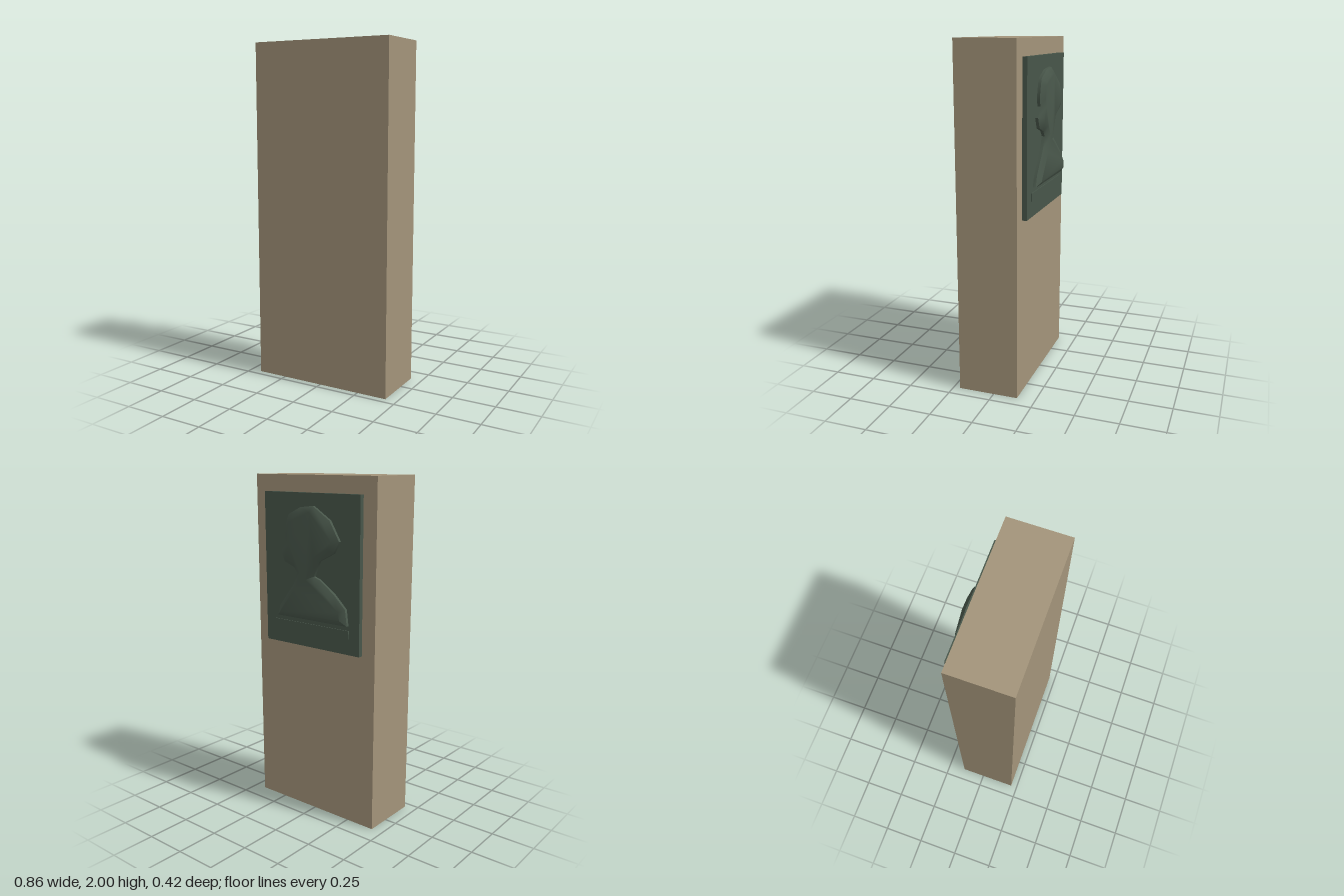
import * as THREE from 'three';
import { toCreasedNormals } from 'three/addons/utils/BufferGeometryUtils.js';

export function createModel() {
  const stone = new THREE.MeshStandardMaterial({ color: 0xa3947a });
  stone.name = 'sandstone';
  const bronze = new THREE.MeshStandardMaterial({ color: 0x48564a });
  bronze.name = 'dark green bronze';

  const model = new THREE.Group();
  model.name = 'memorialStone';

  const add = (name, geometry, material) => {
    const mesh = new THREE.Mesh(geometry, material);
    mesh.name = name;
    model.add(mesh);
    return mesh;
  };
  // Box given by its limits along each axis
  const slab = (name, material, x, y0, y1, z0, z1) =>
    add(name, new THREE.BoxGeometry(2 * x, y1 - y0, z1 - z0), material)
      .position.set(0, (y0 + y1) / 2, (z0 + z1) / 2);

  slab('stoneBlock', stone, 0.43, 0, 2, -0.143, 0.21);
  slab('plaque', bronze, 0.343, 1.03, 1.905, -0.17, -0.143);
  slab('namePlate', bronze, 0.272, 1.122, 1.168, -0.175, -0.17);

  // Profile bust, facing +x: crown, back of head, neck, shoulders, chest, face
  const outline = [
    [0.145, 1.785], [0.06, 1.826], [-0.03, 1.836], [-0.148, 1.763], [-0.215, 1.653],
    [-0.176, 1.587], [-0.078, 1.537], [-0.036, 1.447], [-0.078, 1.432], [-0.176, 1.365],
    [-0.258, 1.287], [-0.27, 1.195], [0.24, 1.195], [0.222, 1.256], [0.117, 1.387],
    [0.085, 1.458], [0.11, 1.49], [0.18, 1.515], [0.207, 1.575], [0.166, 1.633],
    [0.18, 1.673], [0.16, 1.755],
  ];
  // Drawn mirrored, then turned to stand out from the back of the stone
  const shape = new THREE.Shape(outline.map(([x, y]) => new THREE.Vector2(-x, y)));
  const relief = new THREE.ExtrudeGeometry(shape, {
    depth: 0.03, bevelEnabled: true, bevelSegments: 1,
    bevelThickness: 0.023, bevelSize: 0.033, bevelOffset: -0.033,
  });
  const bust = add('bustRelief', toCreasedNormals(relief, 0.7), bronze);
  bust.rotation.y = Math.PI;
  bust.position.z = -0.157;

  return model;
}
